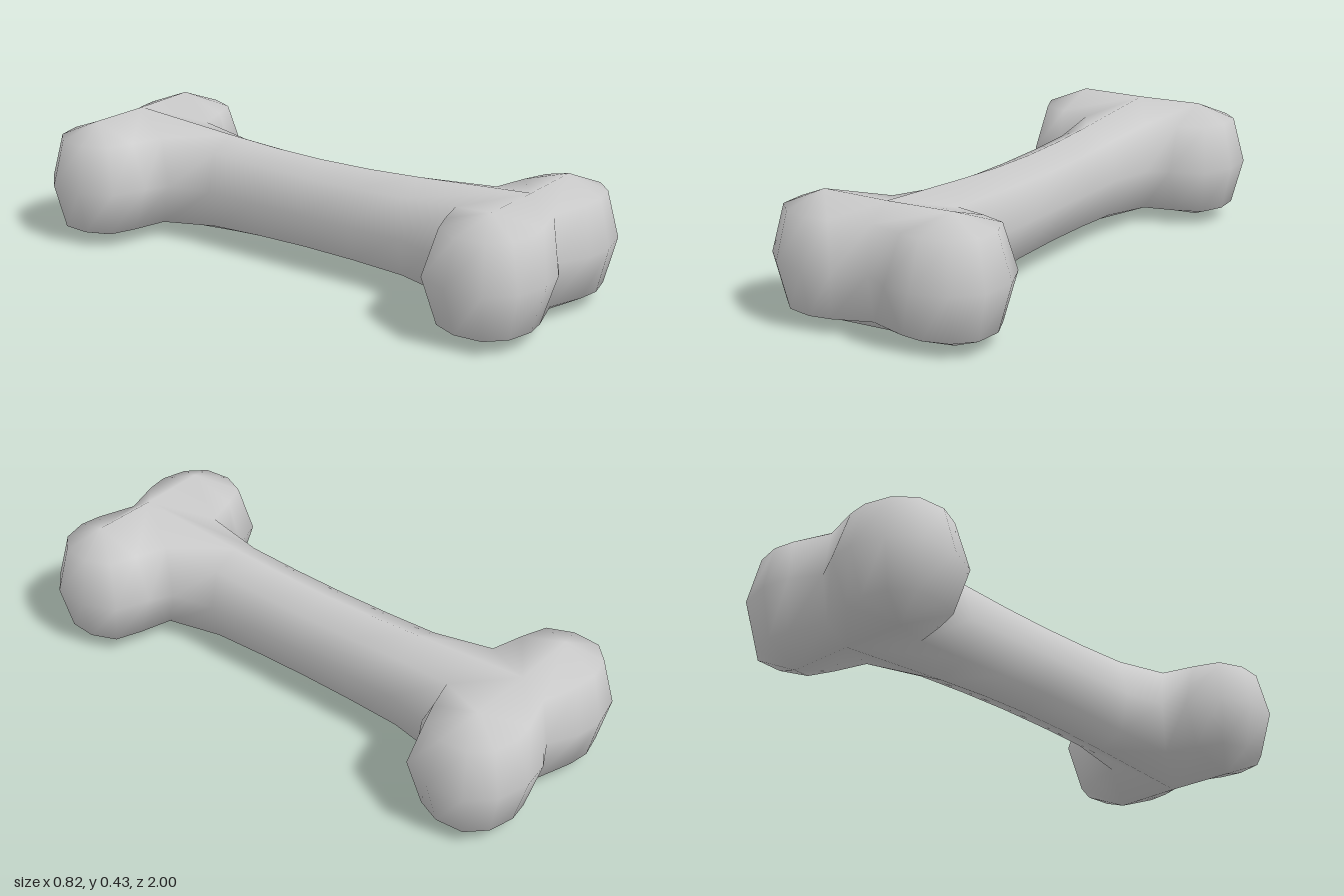
import * as THREE from 'three';
import { mergeVertices } from 'three/addons/utils/BufferGeometryUtils.js';

const MID = 0.215; // height of the bone's centre line

// One quarter of the plan outline, from the notch between the knobs to the middle of the shaft.
// Each row: outline x, z, then the ridge point x, z it rounds over to, and half height there.
const QUARTER = [
  [0, 0.93, 0, 0.82, 0.21],
  [0.1, 0.985, 0.24, 0.82, 0.213],
  [0.2, 1, 0.24, 0.82, 0.213],
  [0.32, 0.97, 0.24, 0.82, 0.213],
  [0.4, 0.89, 0.24, 0.82, 0.213],
  [0.41, 0.76, 0.24, 0.82, 0.213],
  [0.36, 0.645, 0.24, 0.82, 0.213],
  [0.24, 0.6, 0.24, 0.82, 0.213],
  [0.165, 0.555, 0, 0.82, 0.21],
  [0.13, 0.4, 0, 0.4, 0.18],
  [0.13, 0.2, 0, 0.2, 0.169],
  [0.13, 0, 0, 0, 0.165],
];

// Rounded section from underside to top: [spread from ridge, height]
const LEVELS = [[0, -1], [0.76, -0.75], [1, 0], [0.76, 0.75], [0, 1]];

function mirrored(points, sx, sz) {
  return points.map(([x, z, rx, rz, h]) => [x * sx, z * sz, rx * sx, rz * sz, h]).reverse();
}

function boneGeometry() {
  // Mirror front to back, then right to left, dropping the shared end points
  const half = [...QUARTER, ...mirrored(QUARTER, 1, -1).slice(1)];
  const loop = [...half, ...mirrored(half, -1, 1).slice(1, -1)];
  const n = loop.length;

  const positions = [];
  for (const [spread, height] of LEVELS) {
    for (const [x, z, rx, rz, h] of loop) {
      positions.push(rx + (x - rx) * spread, MID + h * height, rz + (z - rz) * spread);
    }
  }
  const index = [];
  for (let j = 0; j < LEVELS.length - 1; j++) {
    for (let i = 0; i < n; i++) {
      const a = j * n + i;
      const b = j * n + (i + 1) % n;
      index.push(a, b, b + n, a, b + n, a + n);
    }
  }
  const geometry = new THREE.BufferGeometry();
  geometry.setAttribute('position', new THREE.Float32BufferAttribute(positions, 3));
  geometry.setIndex(index);

  // Weld the ridge points, then drop the triangles that collapsed there
  const welded = mergeVertices(geometry, 1e-4);
  const ids = welded.index.array;
  const kept = [];
  for (let i = 0; i < ids.length; i += 3) {
    const [a, b, c] = [ids[i], ids[i + 1], ids[i + 2]];
    if (a !== b && b !== c && c !== a) kept.push(a, b, c);
  }
  welded.setIndex(kept);
  welded.computeVertexNormals();
  return welded;
}

export function createModel() {
  const group = new THREE.Group();
  group.name = 'bone';
  const material = new THREE.MeshStandardMaterial({ color: 0xcccccc });
  const body = new THREE.Mesh(boneGeometry(), material);
  body.name = 'boneBody';
  group.add(body);
  return group;
}
